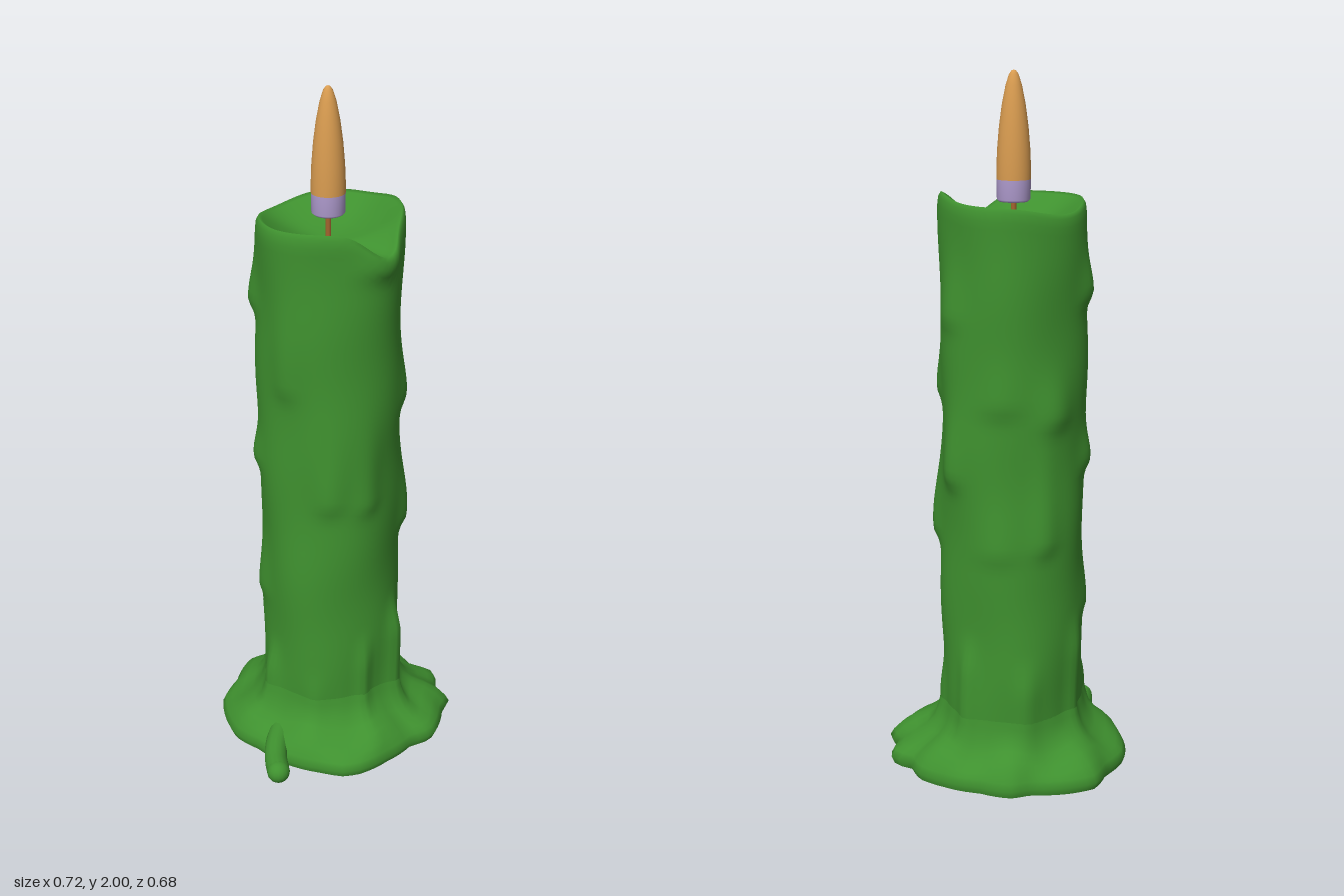
import * as THREE from 'three';

const CX = -0.02, CZ = -0.042, SEG = 80, TAU = Math.PI * 2;
const DEG = Math.PI / 180;

const material = (name, color) => {
  const m = new THREE.MeshStandardMaterial({ color });
  m.name = name;
  return m;
};

// Signed shortest difference of two angles, and a bell curve around an angle
const angleGap = (a, b) => Math.atan2(Math.sin(a - b), Math.cos(a - b));
const bell = (a, deg, width) => Math.exp(-((angleGap(a, deg * DEG) / width) ** 2));

// Wax drips on the shaft: angle, height of the drop, bulge, angular width, length of the tail above
const DRIPS = [
  [182, 1.41, 0.022, 0.22, 0.09], [178, 0.93, 0.02, 0.25, 0.08], [172, 0.5, 0.014, 0.25, 0.15],
  [2, 1.12, 0.02, 0.25, 0.12], [-4, 0.71, 0.025, 0.22, 0.16], [92, 0.86, 0.012, 0.2, 0.12],
  [270, 1.12, 0.012, 0.3, 0.12], [272, 0.7, 0.01, 0.3, 0.15], [225, 1.08, 0.014, 0.25, 0.1],
  [235, 0.72, 0.014, 0.18, 0.25], [130, 1.2, 0.01, 0.2, 0.2], [60, 0.85, 0.012, 0.2, 0.2],
  [315, 0.9, 0.018, 0.2, 0.15], [318, 1.35, 0.012, 0.25, 0.15], [45, 1.56, 0.022, 0.35, 0.05],
];
// Runs of wax down to the foot: angle, bulge, width, top height
const RUNS = [
  [28, 0.028, 0.13, 0.5], [62, 0.016, 0.1, 0.42], [150, 0.022, 0.14, 0.36], [105, 0.01, 0.15, 0.3],
  [200, 0.016, 0.14, 0.5], [250, 0.014, 0.16, 0.4], [300, 0.018, 0.14, 0.45], [345, 0.014, 0.13, 0.35],
];

function shaftRadius(a, y) {
  let r = 0.203 + 0.003 * Math.sin(3 * a + 4 * y) + 0.003 * Math.sin(5 * a - 7 * y + 1)
    + 0.002 * Math.sin(2 * a + 17 * y);
  for (const [deg, y0, bulge, width, tail] of DRIPS) {
    const d = (y - y0) / (y > y0 ? tail : 0.035);
    r += bulge * bell(a, deg, width) * Math.exp(-d * d);
  }
  for (const [deg, bulge, width, top] of RUNS) {
    r += bulge * bell(a, deg, width) * (1 - THREE.MathUtils.smoothstep(y, top - 0.14, top));
  }
  return r;
}

// Rim height: a pouring notch, a shallow dip opposite it and a peak beside it
const rimHeight = a => 1.657 - 0.075 * bell(a, 45, 0.38) - 0.025 * bell(a, 215, 0.6)
  + 0.02 * bell(a, -15, 0.5);

// Outline of the melted foot as [x, z], turned into [angle, radius]
const FOOT = [
  [0.357, -0.045], [0.33, 0.01], [0.31, 0.09], [0.29, 0.13], [0.225, 0.16], [0.15, 0.23],
  [0.06, 0.29], [0.01, 0.3], [-0.06, 0.28], [-0.13, 0.255], [-0.25, 0.16], [-0.32, 0.1],
  [-0.36, -0.07], [-0.32, -0.16], [-0.3, -0.24], [-0.18, -0.3], [-0.12, -0.31], [-0.065, -0.34],
  [0.03, -0.325], [0.14, -0.305], [0.22, -0.27], [0.262, -0.2], [0.31, -0.2], [0.325, -0.165], [0.317, -0.1],
].map(([x, z]) => [(Math.atan2(z - CZ, x - CX) + TAU) % TAU, Math.hypot(x - CX, z - CZ)])
  .sort((p, q) => p[0] - q[0]);

function footRadius(a) {
  const n = FOOT.length;
  let k = FOOT.findIndex(p => p[0] > a);
  if (k < 0) k = n;
  const p = FOOT[(k + n - 1) % n], q = FOOT[k % n];
  const span = (q[0] - p[0] + TAU) % TAU;
  return THREE.MathUtils.lerp(p[1], q[1], ((a - p[0] + TAU) % TAU) / span);
}

// Closed loops stacked into a smooth skin; ring(row, angle) gives [radius, y]
function skin(rows, ring) {
  const pos = [], index = [];
  for (let j = 0; j < rows; j++) {
    for (let i = 0; i < SEG; i++) {
      const a = (i / SEG) * TAU;
      const [r, y] = ring(j, a);
      pos.push(CX + r * Math.cos(a), y, CZ + r * Math.sin(a));
      if (j === rows - 1) continue;
      const p = j * SEG + i, q = j * SEG + (i + 1) % SEG;
      index.push(p, p + SEG, q, q, p + SEG, q + SEG);
    }
  }
  const g = new THREE.BufferGeometry();
  g.setAttribute('position', new THREE.Float32BufferAttribute(pos, 3));
  g.setIndex(index);
  g.computeVertexNormals();
  return g;
}

export function createModel() {
  const group = new THREE.Group();
  const wax = material('green wax', 0x3f912f);
  const amber = material('amber flame', 0xd99c50);
  const lilac = material('lilac collar', 0xb09ccf);
  const brown = material('brown wick', 0xa5652f);
  const add = (name, geometry, mat, x = 0, y = 0, z = 0) => {
    const mesh = new THREE.Mesh(geometry, mat);
    mesh.name = name;
    mesh.position.set(x, y, z);
    group.add(mesh);
    return mesh;
  };

  // Shaft, rounded rim and hollow top in one skin
  const SHAFT = 70;
  const RIM = [[0.985, -0.012], [0.95, 0], [0.9, -0.006]];
  const BOWL = [0.8, 0.65, 0.45, 0.25, 0.001];
  add('candleShaft', skin(SHAFT + RIM.length + BOWL.length, (j, a) => {
    const top = rimHeight(a);
    if (j < SHAFT) {
      const y = THREE.MathUtils.lerp(0.06, top - 0.035, j / (SHAFT - 1));
      return [shaftRadius(a, y), y];
    }
    const r = shaftRadius(a, top - 0.035);
    if (j < SHAFT + RIM.length) {
      const [k, dy] = RIM[j - SHAFT];
      return [r * k, top + dy];
    }
    const k = BOWL[j - SHAFT - RIM.length];
    return [r * k, THREE.MathUtils.lerp(1.575, top - 0.006, (k / 0.9) ** 2)];
  }), wax);

  // Melted foot: rounded lip, then a slope blending into the shaft
  const SLOPE = [[0, 0.022, 1], [0, 0.042, 0.97], [0.22, 0.062, 1], [0.45, 0.083, 1],
    [0.7, 0.105, 1], [0.88, 0.135, 1], [0.97, 0.17, 1], [1.03, 0.21, 1]];
  add('meltedFoot', skin(SLOPE.length + 1, (j, a) => {
    const R = footRadius(a);
    if (j === 0) return [R * 0.975, 0];
    const [f, y, k] = SLOPE[j - 1];
    const wave = 0.012 * Math.sin(7 * a + 1) * Math.sin(Math.PI * Math.min(f, 1));
    return [THREE.MathUtils.lerp(R * k, shaftRadius(a, y), f), y + wave];
  }), wax);

  // Flat underside
  add('footUnderside', skin(2, (j, a) => [j ? footRadius(a) * 0.975 : 0.0001, 0]), wax);

  // Run of wax spilling past the foot
  const spill = new THREE.CatmullRomCurve3([
    [-0.17, 0.06, 0.1], [-0.19, 0.045, 0.19], [-0.192, 0.036, 0.25], [-0.185, 0.034, 0.3],
  ].map(p => new THREE.Vector3(...p)));
  add('waxSpill', new THREE.TubeGeometry(spill, 16, 0.034, 14), wax);
  add('waxSpillTip', new THREE.SphereGeometry(0.034, 16, 12), wax, -0.185, 0.034, 0.302);

  // Wick, collar and flame
  add('wick', new THREE.CylinderGeometry(0.008, 0.008, 0.09, 10), brown, CX - 0.003, 1.615, CZ - 0.004);
  const turned = points => new THREE.LatheGeometry(points.map(p => new THREE.Vector2(...p)), 32);
  add('flameCollar', turned([[0, 1.65], [0.04, 1.65], [0.046, 1.656], [0.047, 1.71]]),
    lilac, CX - 0.003, 0, CZ - 0.004);
  add('flame', turned([[0.047, 1.71], [0.047, 1.74], [0.045, 1.79], [0.04, 1.85], [0.032, 1.91],
    [0.022, 1.96], [0.013, 1.988], [0.006, 1.998], [0, 2]]), amber, CX - 0.003, 0, CZ - 0.004);

  return group;
}
